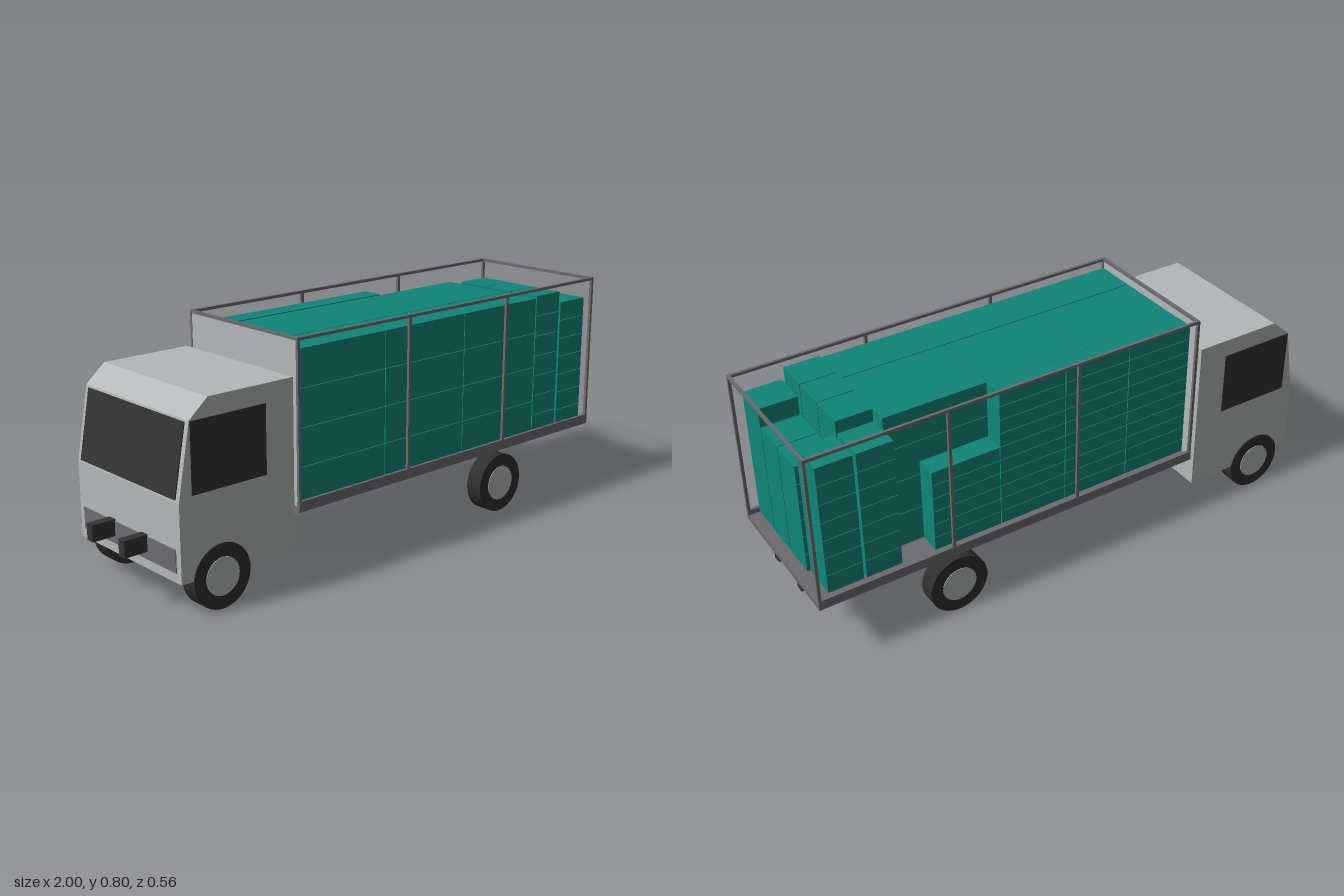
import * as THREE from 'three';

const mat = (name, color) => {
  const m = new THREE.MeshStandardMaterial({ color });
  m.name = name;
  return m;
};

export function createModel() {
  const truck = new THREE.Group();
  truck.name = 'truck';
  const paint = mat('cabPaint', 0xb3b8b8);
  const dark = mat('darkGlassAndChassis', 0x343434);
  const rubber = mat('tyreRubber', 0x303030);
  const steel = mat('bedSteel', 0x6c6b70);
  const teal = mat('cargoTeal', 0x0f8677);

  const add = (name, geo, material, parent = truck) => {
    const mesh = new THREE.Mesh(geo, material);
    mesh.name = name;
    parent.add(mesh);
    return mesh;
  };
  // Box given by its minimum and maximum corners
  const box = (name, x0, x1, y0, y1, z0, z1, material, parent) => {
    const mesh = add(name, new THREE.BoxGeometry(x1 - x0, y1 - y0, z1 - z0), material, parent);
    mesh.position.set((x0 + x1) / 2, (y0 + y1) / 2, (z0 + z1) / 2);
    return mesh;
  };

  // Cab: side profile extruded across the width
  const profile = [[-0.915, 0.118], [-0.475, 0.118], [-0.475, 0.68], [-0.8, 0.68], [-0.87, 0.62], [-0.915, 0.375]];
  const shape = new THREE.Shape(profile.map(([x, y]) => new THREE.Vector2(x, y)));
  const cabGeo = new THREE.ExtrudeGeometry(shape, { depth: 0.546, bevelEnabled: false });
  cabGeo.translate(0, 0, -0.273);
  add('cab', cabGeo, paint);

  // Windscreen lies on the sloping front, side windows on the doors
  const slope = Math.atan2(0.045, 0.245);
  const screen = add('windscreen', new THREE.BoxGeometry(0.006, 0.235, 0.51), dark);
  screen.position.set(-0.893, 0.4975, 0);
  screen.rotation.z = -slope;
  for (const s of [1, -1]) {
    const w = add('sideWindow', new THREE.BoxGeometry(0.283, 0.228, 0.005), dark);
    w.position.set(-0.727, 0.504, s * 0.273);
  }
  box('grille', -0.918, -0.912, 0.15, 0.225, -0.25, 0.25, steel);

  // Chassis rails running the full length
  for (const s of [1, -1]) {
    const rail = add('chassisRail', new THREE.BoxGeometry(1.98, 0.056, 0.031), dark);
    rail.position.set(-0.01, 0.204, s * 0.088);
  }

  // Wheels with pale hubs on the outer side
  for (const x of [-0.765, 0.5]) {
    for (const s of [1, -1]) {
      const wheel = new THREE.Group();
      wheel.name = 'wheel';
      wheel.position.set(x, 0.107, s * 0.246);
      wheel.rotation.x = s * Math.PI / 2;
      truck.add(wheel);
      add('tyre', new THREE.CylinderGeometry(0.107, 0.107, 0.062, 40), rubber, wheel);
      add('hub', new THREE.CylinderGeometry(0.063, 0.063, 0.008, 32), paint, wheel).position.y = 0.029;
    }
  }

  // Load bed: floor, side lips and front bulkhead
  box('bedFloor', -0.457, 0.995, 0.232, 0.25, -0.276, 0.276, steel);
  for (const s of [1, -1]) {
    const lip = add('bedSideLip', new THREE.BoxGeometry(1.452, 0.034, 0.012), steel);
    lip.position.set(0.269, 0.251, s * 0.271);
  }
  box('bulkhead', -0.456, -0.45, 0.25, 0.792, -0.267, 0.267, paint);

  // Open frame: posts and top rails
  for (const s of [1, -1]) {
    for (const x of [-0.452, 0.03, 0.511, 0.99]) {
      const post = add('framePost', new THREE.BoxGeometry(0.01, 0.55, 0.01), steel);
      post.position.set(x, 0.523, s * 0.271);
    }
    const top = add('frameTopRail', new THREE.BoxGeometry(1.452, 0.01, 0.01), steel);
    top.position.set(0.269, 0.795, s * 0.271);
  }
  for (const x of [-0.452, 0.99]) box('frameCrossbar', x - 0.005, x + 0.005, 0.79, 0.8, -0.271, 0.271, steel);

  // Cargo: stacks of boxes with narrow gaps
  const cargo = new THREE.Group();
  cargo.name = 'cargo';
  truck.add(cargo);
  const gap = 0.0015;
  const stack = (x0, x1, z0, z1, layers, height) => {
    for (let i = 0; i < layers; i++) {
      const y = 0.25 + i * height;
      box('cargoBox', x0 + gap, x1 - gap, y, y + height - 0.002, z0 + gap, z1 - gap, teal, cargo);
    }
  };
  // Long boxes filling the front of the bed
  for (let i = 0; i < 3; i++) {
    const x = -0.45 + i * 0.376;
    stack(x, x + 0.376, 0.117, 0.268, 4, 0.1285);
    stack(x, x + 0.376, -0.158, 0.117, 4, 0.1285);
  }
  // Flat boxes along the far side, the last stack part height
  for (let i = 0; i < 4; i++) {
    const x = -0.45 + i * 0.253;
    stack(x, x + 0.253, -0.237, -0.158, i < 3 ? 10 : 6, 0.0516);
  }
  // Small boxes in two rows at the tail
  const columns = [[0.145, 0.268], [0.021, 0.145], [-0.105, 0.021], [-0.236, -0.107]];
  columns.forEach(([z0, z1], i) => {
    if (i < 3) stack(0.68, 0.81, z0, z1, 7, 0.0745);
    else stack(0.68, 0.81, z0, z1, 7, 0.0685);
    stack(0.817, i < 3 ? 0.955 : 0.945, z0, z1, i === 0 || i === 3 ? 7 : 6, 0.0685);
  });
  return truck;
}
